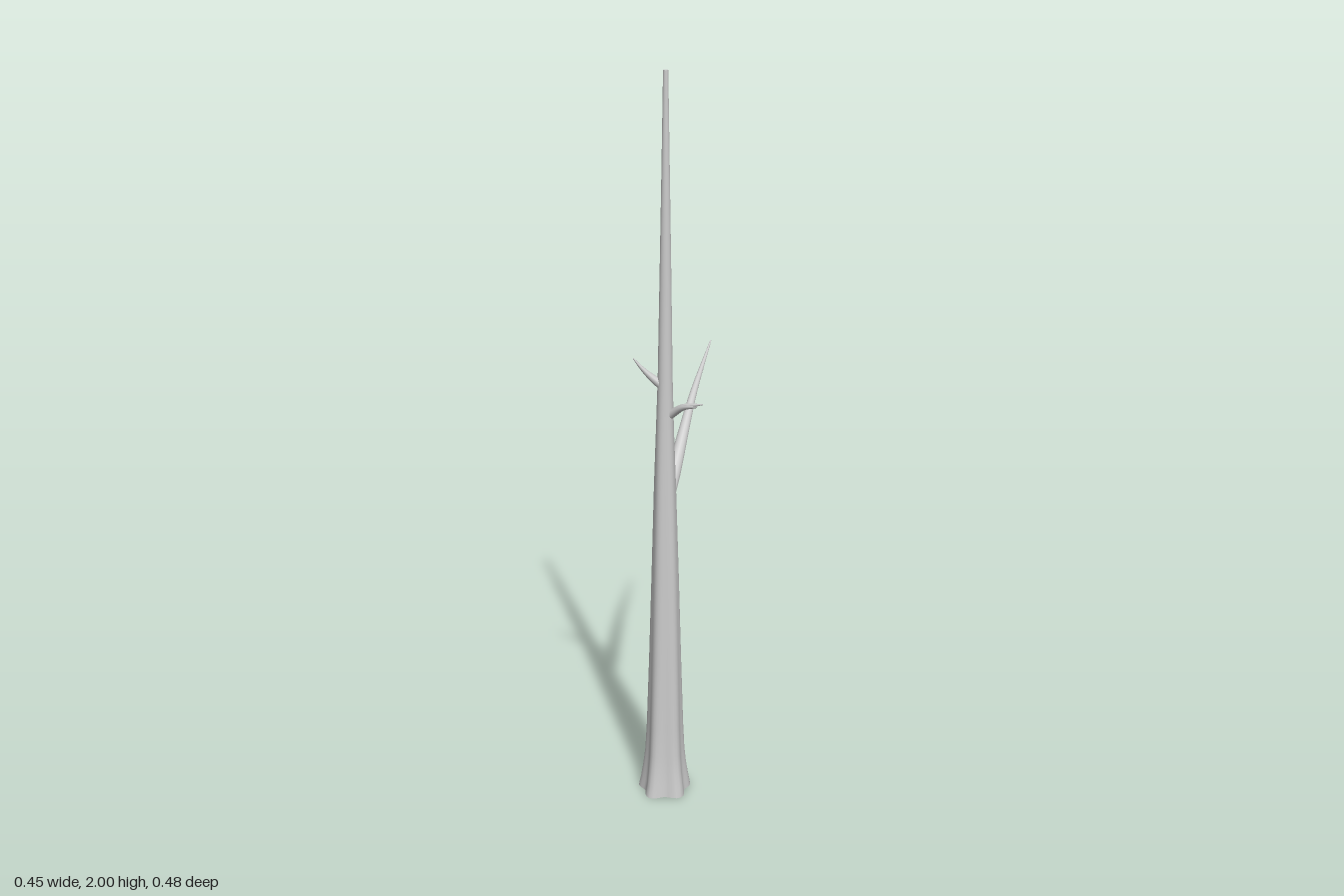
import * as THREE from 'three';
import { mergeVertices } from 'three/addons/utils/BufferGeometryUtils.js';

const material = new THREE.MeshStandardMaterial({ color: 0xcccccc });

// Trunk sections from root to tip: height, mean radius, root-lobe depth, centre x
const SECTIONS = [
  [0, 0.066, 0.009, 0.103], [0.03, 0.061, 0.008, 0.104], [0.07, 0.056, 0.0065, 0.104],
  [0.12, 0.0515, 0.005, 0.105], [0.2, 0.048, 0.004, 0.106], [0.4, 0.0425, 0.0025, 0.108],
  [0.65, 0.036, 0.0015, 0.11], [0.9, 0.029, 0.001, 0.111], [1.05, 0.024, 0.0005, 0.112],
  [1.2, 0.0195, 0, 0.114], [1.45, 0.0155, 0, 0.117], [1.75, 0.0105, 0, 0.12], [2, 0.0065, 0, 0.122],
];
const TRUNK_Z = 0.17;

// Point on the five-lobed outline of a section; k scales it towards the centre
function sectionPoint([y, r, lobe, cx], angle, k) {
  const d = k * (r + lobe * Math.cos(5 * angle));
  return [cx + d * Math.cos(angle), y, TRUNK_Z + d * Math.sin(angle)];
}

function trunkSide() {
  const rows = SECTIONS.length - 1;
  let geo = new THREE.CylinderGeometry(1, 1, rows, 40, rows, true);
  const p = geo.attributes.position;
  for (let i = 0; i < p.count; i++) {
    const s = SECTIONS[Math.round(p.getY(i) + rows / 2)];
    p.setXYZ(i, ...sectionPoint(s, Math.atan2(p.getZ(i), p.getX(i)), 1));
  }
  // weld the seam so the shading runs all the way round
  geo.deleteAttribute('uv');
  geo.deleteAttribute('normal');
  geo = mergeVertices(geo, 1e-5);
  geo.computeVertexNormals();
  return geo;
}

function trunkCap(section, up) {
  const geo = new THREE.CircleGeometry(1, 40).rotateX(up ? -Math.PI / 2 : Math.PI / 2);
  const p = geo.attributes.position;
  for (let i = 0; i < p.count; i++) {
    const x = p.getX(i), z = p.getZ(i);
    p.setXYZ(i, ...sectionPoint(section, Math.atan2(z, x), Math.hypot(x, z)));
  }
  return geo;
}

// Tube along a curve, narrowing from r0 at the root to r1 at the tip
function branch(points, r0, r1, segments = 16, sides = 14) {
  const curve = new THREE.CatmullRomCurve3(points.map((q) => new THREE.Vector3(...q)));
  const geo = new THREE.TubeGeometry(curve, segments, 1, sides, false);
  const p = geo.attributes.position;
  const v = new THREE.Vector3();
  for (let i = 0; i < p.count; i++) {
    const t = Math.floor(i / (sides + 1)) / segments;
    const c = curve.getPointAt(t);
    v.fromBufferAttribute(p, i).sub(c).multiplyScalar(r0 + (r1 - r0) * t).add(c);
    p.setXYZ(i, v.x, v.y, v.z);
  }
  return geo;
}

export function createModel() {
  const model = new THREE.Group();
  model.name = 'bareTree';
  const add = (name, geo) => {
    const mesh = new THREE.Mesh(geo, material);
    mesh.name = name;
    model.add(mesh);
  };

  // Trunk with flared root and closed ends
  add('trunk', trunkSide());
  add('trunkBase', trunkCap(SECTIONS[0], false));
  add('trunkTip', trunkCap(SECTIONS[SECTIONS.length - 1], true));

  // Long limb reaching to the back
  add('longBranch', branch([
    [0.105, 0.872, 0.16], [0.07, 0.91, 0.113], [-0.005, 0.99, 0.022],
    [-0.085, 1.062, -0.073], [-0.225, 1.15, -0.242],
  ], 0.022, 0.002));

  // Short forked branch on the left
  add('forkedBranchUpper', branch([
    [0.115, 1.098, 0.168], [0.14, 1.118, 0.158], [0.165, 1.136, 0.149], [0.215, 1.15, 0.123],
  ], 0.014, 0.0015));
  add('forkedBranchLower', branch([
    [0.115, 1.098, 0.168], [0.14, 1.117, 0.159], [0.17, 1.135, 0.154], [0.222, 1.149, 0.148],
  ], 0.014, 0.0015));

  // Short twig at the front
  add('frontTwig', branch([
    [0.108, 1.187, 0.178], [0.093, 1.206, 0.197], [0.077, 1.231, 0.217], [0.062, 1.258, 0.234],
  ], 0.013, 0.0015));

  return model;
}
